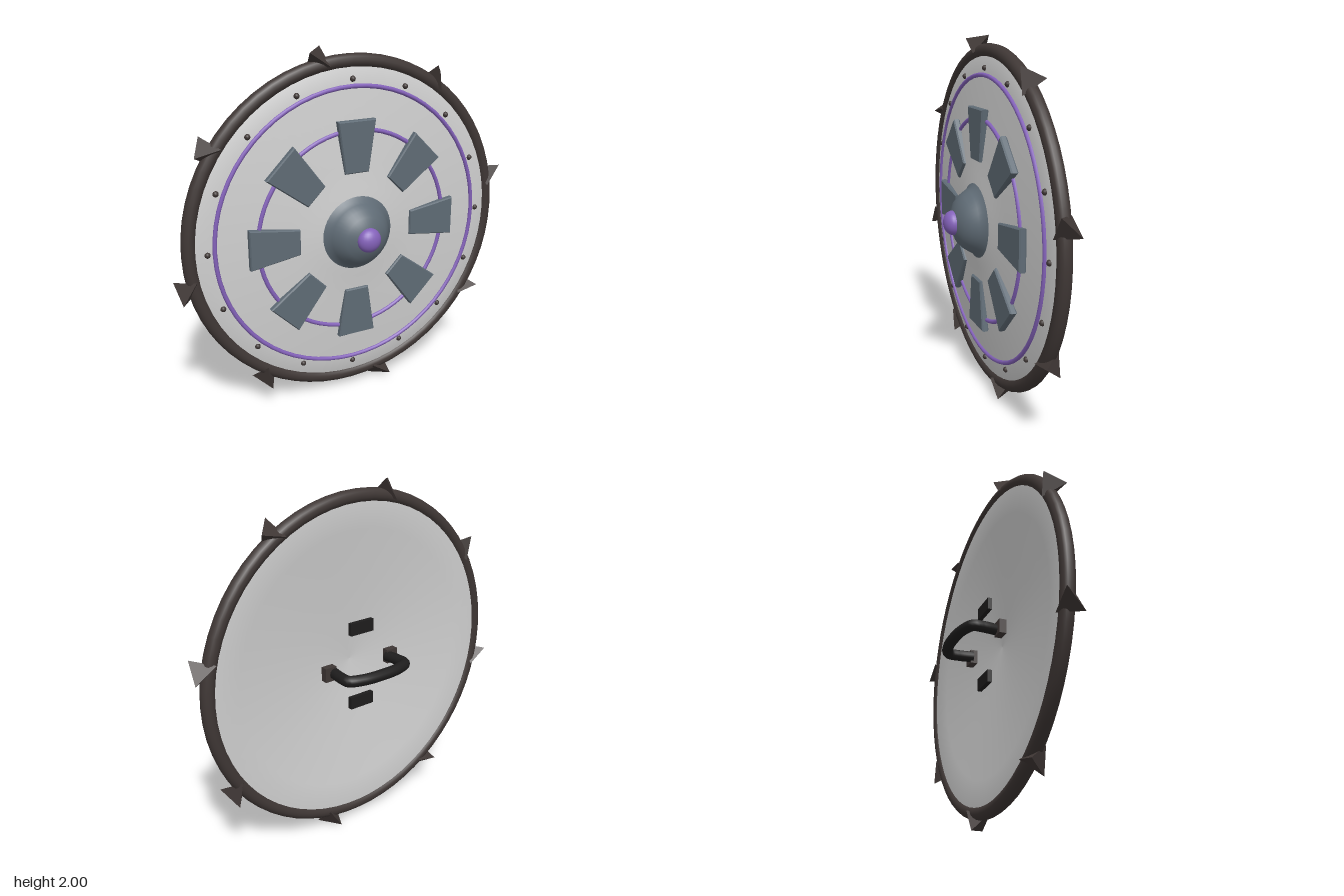
import * as THREE from 'three';

const mat = (name, color) => {
  const m = new THREE.MeshStandardMaterial({ color });
  m.name = name;
  return m;
};

export function createModel() {
  const white = mat('pale face', 0xd0d0d0);
  const iron = mat('dark iron', 0x3f3735);
  const steel = mat('blue steel', 0x5f6b75);
  const purple = mat('purple', 0x8462ba);
  const black = mat('black leather', 0x1e1d1d);

  const model = new THREE.Group();
  model.name = 'roundShield';
  // everything is laid out around the shield centre, facing +z
  const shield = new THREE.Group();
  shield.name = 'shield';
  shield.position.y = 1;
  model.add(shield);

  const add = (name, geometry, material, x = 0, y = 0, z = 0) => {
    const mesh = new THREE.Mesh(geometry, material);
    mesh.name = name;
    mesh.position.set(x, y, z);
    shield.add(mesh);
    return mesh;
  };
  // profile of [radius, z] pairs turned about the z axis
  const turned = (profile, segments) => new THREE.LatheGeometry(
    profile.map(([r, z]) => new THREE.Vector2(r, z)), segments).rotateX(Math.PI / 2);
  const polar = (r, a) => [r * Math.cos(a), r * Math.sin(a)];

  // shallow dished shell: domed front, hollow back
  add('face', turned([[0, 0.06], [0.25, 0.04], [0.5, 0.014], [0.75, -0.014], [0.9, -0.033], [0.92, -0.01],
    [0.9, 0.014], [0.8, 0.027], [0.6, 0.047], [0.4, 0.063], [0.26, 0.075], [0.18, 0.088], [0, 0.1]], 64), white);

  // rim and inlaid rings
  add('rim', new THREE.TorusGeometry(0.922, 0.038, 14, 64), iron, 0, 0, -0.008);
  add('outerRing', new THREE.TorusGeometry(0.795, 0.012, 8, 64), purple, 0, 0, 0.03);
  add('innerRing', new THREE.TorusGeometry(0.568, 0.012, 8, 64), purple, 0, 0, 0.052);

  // central boss and knob
  add('boss', turned([[0.222, 0.072], [0.208, 0.084], [0.187, 0.1], [0.174, 0.122], [0.152, 0.156],
    [0.12, 0.187], [0.07, 0.21], [0.03, 0.218], [0, 0.22]], 40), steel);
  add('knob', new THREE.SphereGeometry(0.068, 24, 16), purple, 0, 0, 0.215).scale.z = 0.75;

  // tetrahedral spikes along the rim
  const spike = new THREE.TetrahedronGeometry(0.087);
  for (let i = 0; i < 8; i++) {
    const a = 0.2 + i * Math.PI / 4;
    add('spike', spike, iron, ...polar(0.96, a), -0.007).rotation.z = a;
  }

  // tapered plates
  const outline = new THREE.Shape([[-0.066, 0.344], [0.066, 0.344], [0.106, 0.618], [-0.106, 0.618]]
    .map(([x, y]) => new THREE.Vector2(x, y)));
  const plate = new THREE.ExtrudeGeometry(outline, {
    depth: 0.024, bevelThickness: 0.008, bevelSize: 0.006, bevelSegments: 1,
  });
  for (let i = 0; i < 8; i++) {
    add('plate', plate, steel, 0, 0, 0.052).rotation.z = i * Math.PI / 4;
  }

  // rivets
  const rivet = new THREE.SphereGeometry(0.016, 10, 8);
  for (let i = 0; i < 16; i++) {
    add('rivet', rivet, iron, ...polar(0.832, i * Math.PI / 8), 0.023);
  }

  // back grip with its mounts and pads
  const path = new THREE.CatmullRomCurve3([[-0.19, -0.045], [-0.2, -0.13], [-0.195, -0.19],
    [-0.12, -0.222], [0, -0.232], [0.12, -0.222], [0.195, -0.19], [0.2, -0.13], [0.19, -0.045]]
    .map(([x, z]) => new THREE.Vector3(x, 0, z)));
  add('grip', new THREE.TubeGeometry(path, 48, 0.031, 12), black);
  for (const side of [-1, 1]) {
    add('gripMount', new THREE.BoxGeometry(0.07, 0.08, 0.04), iron, side * 0.215, 0, -0.042);
    add('backPad', new THREE.BoxGeometry(0.155, 0.07, 0.025), black, 0, side * 0.22, -0.047);
  }
  return model;
}
